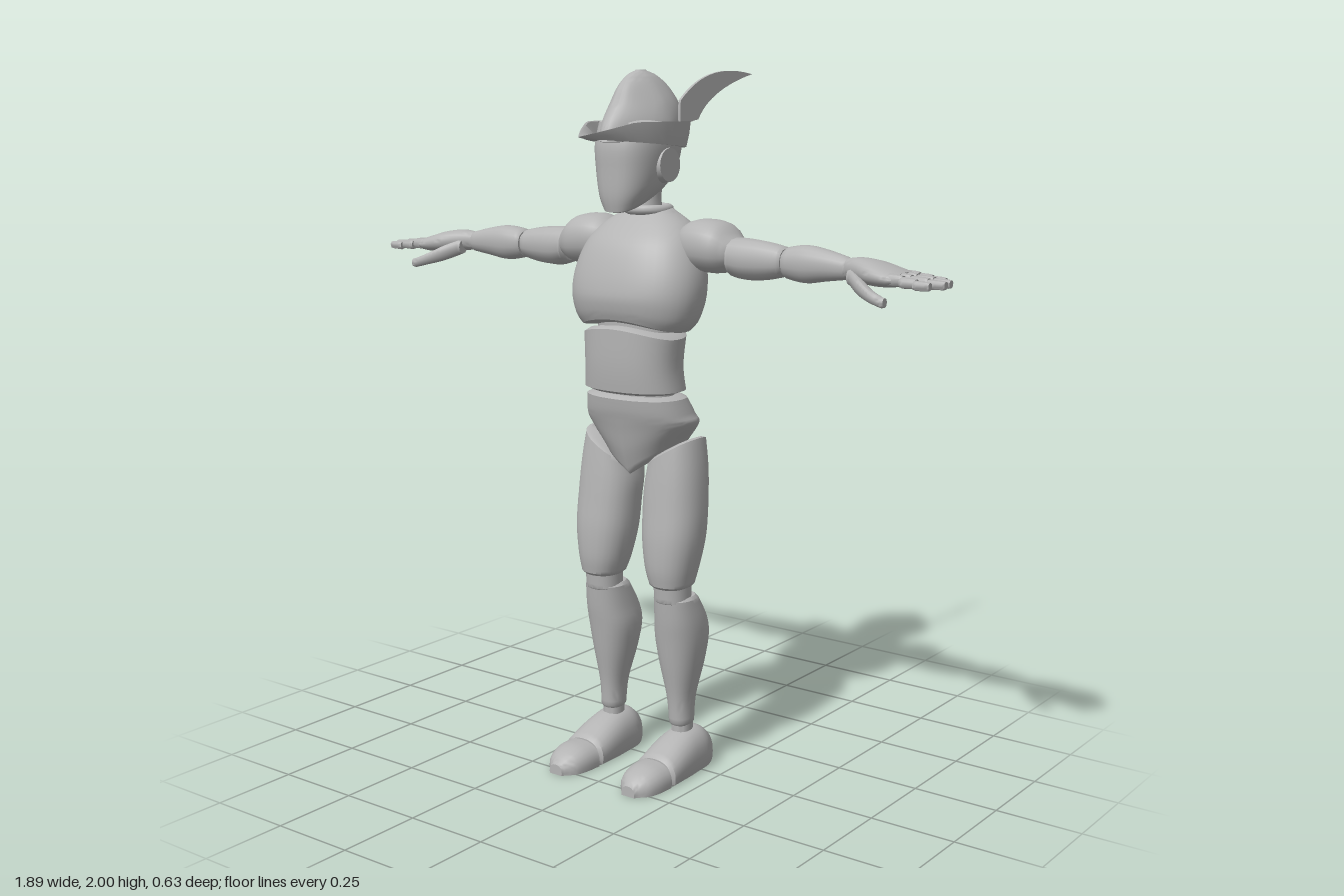
import * as THREE from 'three';
import { toCreasedNormals } from 'three/addons/utils/BufferGeometryUtils.js';

const grey = new THREE.MeshStandardMaterial({ color: 0xb4b4b4 });
grey.name = 'plain grey';

// Skin a stack of closed rings of points, cap both ends and face outwards.
function skin(rings) {
  const n = rings[0].length, pts = rings.flat(), idx = [];
  for (let j = 0; j < rings.length - 1; j++) {
    for (let i = 0; i < n; i++) {
      const a = j * n + i, b = j * n + (i + 1) % n;
      idx.push(a, a + n, b, b, a + n, b + n);
    }
  }
  [0, rings.length - 1].forEach((j, end) => {
    const c = pts.length;
    pts.push(rings[j].reduce((s, p) => s.add(p), new THREE.Vector3()).divideScalar(n));
    for (let i = 0; i < n; i++) {
      const a = j * n + i, b = j * n + (i + 1) % n;
      end ? idx.push(c, b, a) : idx.push(c, a, b);
    }
  });
  let volume = 0;
  const v = new THREE.Vector3();
  for (let k = 0; k < idx.length; k += 3) {
    volume += pts[idx[k]].dot(v.crossVectors(pts[idx[k + 1]], pts[idx[k + 2]]));
  }
  if (volume < 0) idx.reverse();
  const g = new THREE.BufferGeometry().setFromPoints(pts);
  g.setIndex(idx);
  return toCreasedNormals(g, 0.65);
}

// Smooth curve through the rows, each [position, aMin, aMax, bMin, bMax].
function smoothRows(rows, steps = 4) {
  const out = [];
  for (let k = 0; k < rows.length - 1; k++) {
    const p0 = rows[Math.max(k - 1, 0)], p1 = rows[k], p2 = rows[k + 1], p3 = rows[Math.min(k + 2, rows.length - 1)];
    for (let s = 0; s < steps; s++) {
      const t = s / steps;
      out.push(p1.map((_, i) => 0.5 * (2 * p1[i] + (p2[i] - p0[i]) * t
        + (2 * p0[i] - 5 * p1[i] + 4 * p2[i] - p3[i]) * t * t
        + (3 * p1[i] - p0[i] - 3 * p2[i] + p3[i]) * t * t * t)));
    }
  }
  out.push(rows[rows.length - 1]);
  return out;
}

// Loft superellipse sections along an axis, with bevelled ends.
function loft(axis, rows, { p = 2.3, bevel = 0.008, warp = () => {}, side = 1, sides = 24 } = {}) {
  const all = smoothRows(rows);
  const shrink = (r, d) => [r[0] + d, ...[1, 3].flatMap((i) => {
    const m = (r[i] + r[i + 1]) / 2, h = (r[i + 1] - r[i]) * 0.43;
    return [m - h, m + h];
  })];
  all.unshift(shrink(all[0], -bevel));
  all.push(shrink(all[all.length - 1], bevel));
  const bend = (v) => Math.sign(v) * Math.abs(v) ** (2 / p);
  return skin(all.map(([t, a0, a1, b0, b1]) => Array.from({ length: sides }, (_, i) => {
    const u = (i / sides) * Math.PI * 2;
    const a = (a0 + a1) / 2 + bend(Math.cos(u)) * (a1 - a0) / 2;
    const b = (b0 + b1) / 2 + bend(Math.sin(u)) * (b1 - b0) / 2;
    const v = axis === 'y' ? new THREE.Vector3(a, t, b) : axis === 'x' ? new THREE.Vector3(t, a, b) : new THREE.Vector3(a, b, t);
    warp(v);
    v.x *= side;
    return v;
  })));
}

const clamp = THREE.MathUtils.clamp;

export function createModel() {
  const model = new THREE.Group();
  model.name = 'jointedFigure';
  const add = (name, geometry, parent = model) => {
    const mesh = new THREE.Mesh(geometry, grey);
    mesh.name = name;
    parent.add(mesh);
    return mesh;
  };

  // Trunk; the chest and waist share an arched joint
  const arch = (x) => 0.035 * (1 - (x / 0.17) ** 2);
  add('chest', loft('y', [
    [1.29, -0.165, 0.165, -0.045, 0.175], [1.33, -0.19, 0.19, -0.06, 0.185], [1.39, -0.205, 0.205, -0.075, 0.19],
    [1.46, -0.2, 0.2, -0.082, 0.175], [1.53, -0.175, 0.175, -0.085, 0.145], [1.58, -0.135, 0.135, -0.075, 0.1],
    [1.615, -0.08, 0.08, -0.05, 0.06]],
  { sides: 40, warp: (v) => { v.y += clamp((1.4 - v.y) / 0.11, 0, 1) * arch(v.x); } }));
  add('waist', loft('y', [
    [1.125, -0.153, 0.153, -0.03, 0.178], [1.19, -0.147, 0.147, -0.025, 0.185], [1.265, -0.152, 0.152, -0.035, 0.185]],
  { sides: 40, warp: (v) => { v.y += clamp((v.y - 1.15) / 0.11, 0, 1) * arch(v.x); } }));
  add('spineCore', loft('y', [[1.04, -0.12, 0.12, 0, 0.14], [1.36, -0.12, 0.12, 0, 0.14]]));
  add('pelvis', loft('y', [
    [0.94, -0.12, 0.12, -0.055, 0.11], [0.98, -0.155, 0.155, -0.072, 0.13], [1.02, -0.172, 0.172, -0.075, 0.145],
    [1.06, -0.164, 0.164, -0.06, 0.16], [1.102, -0.152, 0.152, -0.035, 0.168]],
  { sides: 40, warp: (v) => { v.y += clamp((1.05 - v.y) / 0.11, 0, 1) * (Math.abs(v.x) * 0.65 - 0.055); } }));

  // Neck and head
  add('neck', loft('y', [[1.57, -0.05, 0.05, -0.035, 0.065], [1.64, -0.04, 0.04, -0.02, 0.06], [1.72, -0.042, 0.042, -0.025, 0.06]]));
  const collar = add('collar', new THREE.TorusGeometry(0.057, 0.014, 10, 28));
  collar.rotation.x = Math.PI / 2;
  collar.position.set(0, 1.62, 0.012);
  add('head', loft('y', [
    [1.64, -0.062, 0.062, -0.045, 0.178], [1.68, -0.082, 0.082, -0.062, 0.186], [1.74, -0.094, 0.094, -0.07, 0.188],
    [1.8, -0.099, 0.099, -0.073, 0.188], [1.86, -0.095, 0.095, -0.07, 0.17]],
  { p: 2.5, sides: 32, warp: (v) => { v.y += clamp((1.8 - v.y) / 0.16, 0, 1) * (0.05 - 0.4 * v.z); } }));
  for (const s of [1, -1]) {
    const ear = add(s > 0 ? 'leftEar' : 'rightEar', new THREE.CylinderGeometry(0.046, 0.05, 0.025, 24));
    ear.rotation.z = -s * Math.PI / 2;
    ear.position.set(s * 0.09, 1.745, 0.05);
  }

  // Pointed hat: crown, upturned teardrop brim and feather
  add('hatCrown', loft('y', [
    [1.81, -0.103, 0.103, -0.095, 0.22], [1.86, -0.1, 0.1, -0.097, 0.2], [1.91, -0.083, 0.083, -0.085, 0.162],
    [1.955, -0.055, 0.055, -0.055, 0.135], [1.985, -0.03, 0.03, -0.012, 0.1], [1.997, -0.012, 0.012, 0.025, 0.07]],
  { p: 2, bevel: 0.003, sides: 36, warp: (v) => { v.x *= 1 - 0.5 * clamp((v.z - 0.06) / 0.16, 0, 1); } }));
  const brimRing = (scale, height) => Array.from({ length: 48 }, (_, i) => {
    const u = (i / 48) * Math.PI * 2, f = (1 - Math.cos(u)) / 2;
    const low = 1.82 - 0.034 * f, high = 1.825 + 0.037 * Math.min(1, f * 3);
    return new THREE.Vector3(0.152 * Math.sin(u) * Math.abs(Math.sin(u / 2)) * scale,
      THREE.MathUtils.lerp(low, high, height), 0.05 + (0.055 + 0.207 * Math.cos(u)) * scale);
  });
  add('hatBrim', skin([[0.86, 0], [0.94, 0], [1, 0.5], [1.03, 1], [0.99, 0.97], [0.85, 0.3]].map((r) => brimRing(...r))));

  const plume = new THREE.Shape();
  plume.moveTo(0.0, 1.84);
  plume.quadraticCurveTo(-0.005, 1.9, 0.0, 1.918);
  plume.bezierCurveTo(0.07, 1.98, 0.16, 2.015, 0.315, 1.988);
  plume.bezierCurveTo(0.21, 1.965, 0.11, 1.925, 0.075, 1.865);
  plume.quadraticCurveTo(0.03, 1.86, 0.0, 1.84);
  const feather = new THREE.ExtrudeGeometry(plume, { depth: 0.008, bevelEnabled: false, curveSegments: 14 });
  feather.rotateY(Math.PI / 2);
  const fp = feather.attributes.position;
  for (let i = 0; i < fp.count; i++) fp.setX(i, fp.getX(i) + 0.094 - fp.getZ(i) * 0.07);
  feather.computeVertexNormals();
  add('hatFeather', feather);

  // Limbs, built for the left and mirrored to the right
  for (const side of [1, -1]) {
    const label = side > 0 ? 'left' : 'right';
    const arm = new THREE.Group(), leg = new THREE.Group();
    arm.name = label + 'Arm';
    leg.name = label + 'Leg';
    model.add(arm, leg);
    const limb = (group, name, axis, rows, opts = {}) => add(name, loft(axis, rows, { side, ...opts }), group);

    limb(arm, 'shoulder', 'x', [
      [0.12, 1.48, 1.575, -0.06, 0.055], [0.155, 1.46, 1.595, -0.08, 0.075], [0.2, 1.455, 1.6, -0.09, 0.083],
      [0.25, 1.455, 1.59, -0.085, 0.08], [0.285, 1.47, 1.56, -0.06, 0.06]]);
    limb(arm, 'upperArm', 'x', [
      [0.29, 1.45, 1.555, -0.058, 0.06], [0.33, 1.442, 1.555, -0.055, 0.06], [0.39, 1.446, 1.55, -0.045, 0.055],
      [0.445, 1.457, 1.54, -0.036, 0.048]], { sides: 14 });
    limb(arm, 'elbow', 'x', [[0.43, 1.47, 1.53, -0.025, 0.038], [0.48, 1.47, 1.53, -0.025, 0.038]]);
    limb(arm, 'forearm', 'x', [
      [0.465, 1.455, 1.54, -0.038, 0.05], [0.52, 1.447, 1.548, -0.038, 0.055], [0.58, 1.456, 1.54, -0.025, 0.052],
      [0.645, 1.465, 1.525, -0.012, 0.044]], { sides: 18 });
    limb(arm, 'palm', 'x', [
      [0.65, 1.468, 1.522, -0.008, 0.042], [0.69, 1.465, 1.527, -0.02, 0.065], [0.74, 1.458, 1.522, -0.036, 0.092],
      [0.79, 1.458, 1.508, -0.04, 0.098], [0.815, 1.462, 1.5, -0.036, 0.094]]);
    // Four fingers of three joints each: base z, tip x, spread
    [[-0.022, 0.905, -0.004], [0.01, 0.94, 0], [0.044, 0.945, 0.002], [0.077, 0.925, 0.008]].forEach(([z, tip, spread], f) => {
      const span = (tip - 0.8) / 3;
      for (let k = 0; k < 3; k++) {
        const x = 0.8 + k * span, r = 0.0165 - k * 0.0018, y = 1.482 - k * 0.004, c = z + spread * k;
        limb(arm, `finger${f + 1}Joint${k + 1}`, 'x', [
          [x + 0.004, y - r, y + r, c - r, c + r], [x + span - 0.005, y - r * 0.9, y + r * 0.9, c - r * 0.9, c + r * 0.9]],
        { sides: 10, bevel: 0.006 });
      }
    });
    limb(arm, 'thumb', 'x', [
      [0.68, 1.455, 1.5, 0.03, 0.07], [0.72, 1.437, 1.482, 0.06, 0.1], [0.765, 1.424, 1.458, 0.09, 0.122],
      [0.805, 1.414, 1.442, 0.103, 0.129]], { sides: 12 });

    limb(leg, 'thigh', 'y', [
      [0.57, 0.063, 0.182, -0.002, 0.13], [0.62, 0.047, 0.193, -0.018, 0.138], [0.7, 0.032, 0.206, -0.036, 0.138],
      [0.78, 0.027, 0.208, -0.045, 0.13], [0.87, 0.026, 0.201, -0.056, 0.12], [0.945, 0.034, 0.187, -0.058, 0.11]],
    { warp: (v) => { v.y += clamp((v.y - 0.8) / 0.14, 0, 1) * (v.x - 0.11) * 0.6; } });
    limb(leg, 'knee', 'y', [[0.52, 0.072, 0.175, 0.01, 0.112], [0.58, 0.072, 0.175, 0.01, 0.118]]);
    limb(leg, 'shin', 'y', [
      [0.145, 0.092, 0.158, -0.02, 0.058], [0.22, 0.087, 0.16, -0.03, 0.065], [0.32, 0.064, 0.179, -0.058, 0.082],
      [0.4, 0.051, 0.191, -0.07, 0.094], [0.46, 0.056, 0.192, -0.055, 0.103], [0.525, 0.064, 0.184, -0.015, 0.11]]);
    limb(leg, 'ankle', 'y', [[0.09, 0.097, 0.155, -0.015, 0.05], [0.16, 0.097, 0.155, -0.015, 0.05]]);
    const flatSole = (v) => { v.y = Math.max(v.y, 0); };
    limb(leg, 'foot', 'z', [
      [-0.07, 0.085, 0.175, -0.03, 0.095], [-0.03, 0.069, 0.19, -0.035, 0.122], [0.03, 0.064, 0.195, -0.035, 0.123],
      [0.09, 0.062, 0.198, -0.035, 0.105], [0.15, 0.062, 0.2, -0.035, 0.078]], { warp: flatSole });
    limb(leg, 'toeCap', 'z', [
      [0.165, 0.064, 0.198, -0.035, 0.07], [0.21, 0.068, 0.195, -0.035, 0.068], [0.25, 0.08, 0.183, -0.03, 0.054],
      [0.277, 0.105, 0.158, -0.02, 0.034]], { warp: flatSole });
  }
  return model;
}
